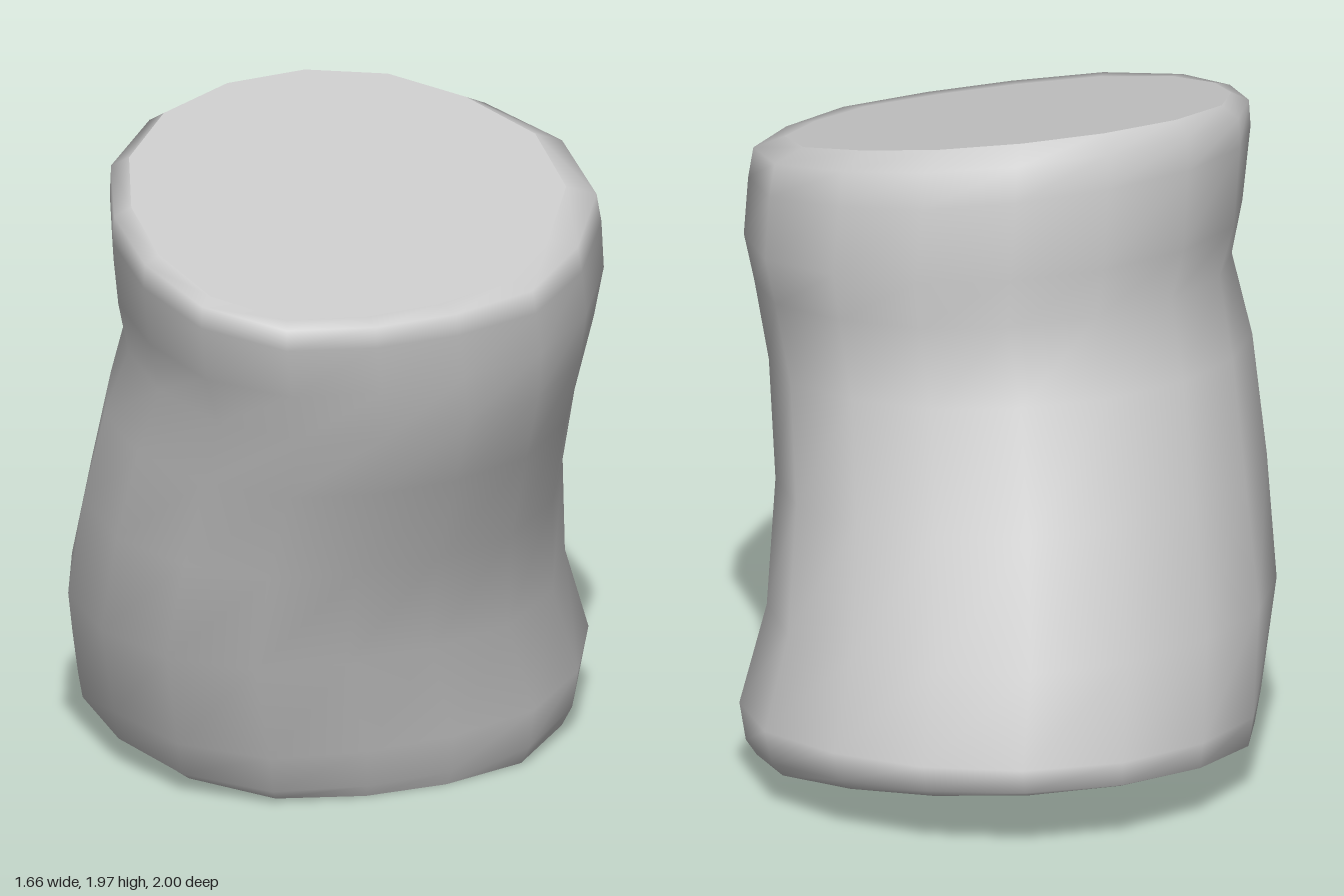
import * as THREE from 'three';

const SIDES = 16;
const STEP = (Math.PI * 2) / SIDES;

// Each ring: left [x, y], right [x, y], front [z, y], back [z, y],
// then the bulge of its four corners, from front (+x) round to back (+x)
const RINGS = [
  [[-0.80, 0.14], [0.58, 0.01], [0.465, 0.025], [-0.93, 0.135], [-0.09, -0.05, 0.02, 0.06]], // underside edge
  [[-0.83, 0.15], [0.605, 0.06], [0.495, 0.055], [-0.985, 0.175], [-0.09, -0.04, 0.02, 0.05]],
  [[-0.83, 0.22], [0.63, 0.18], [0.55, 0.18], [-0.995, 0.26], [-0.09, -0.04, 0.02, 0.05]],
  [[-0.78, 0.50], [0.595, 0.47], [0.67, 0.50], [-0.89, 0.52], [-0.09, 0, 0.02, 0.05]],
  [[-0.675, 0.85], [0.645, 0.80], [0.735, 0.82], [-0.74, 0.87], [-0.08, 0.03, 0.01, 0.04]],
  [[-0.57, 1.18], [0.735, 1.10], [0.82, 1.12], [-0.595, 1.20], [-0.07, 0.03, -0.01, 0.05]],
  [[-0.50, 1.42], [0.795, 1.33], [0.885, 1.32], [-0.555, 1.41], [-0.07, -0.02, 0, 0.07]], // groove
  [[-0.54, 1.57], [0.815, 1.47], [0.945, 1.48], [-0.595, 1.57], [-0.09, -0.05, -0.01, 0.08]],
  [[-0.53, 1.80], [0.82, 1.62], [1.00, 1.65], [-0.55, 1.77], [-0.10, -0.04, -0.02, 0.09]],
  [[-0.525, 1.89], [0.81, 1.69], [0.99, 1.715], [-0.53, 1.88], [-0.10, -0.04, -0.02, 0.09]], // rim
  [[-0.47, 1.93], [0.73, 1.715], [0.93, 1.72], [-0.45, 1.92], [-0.10, -0.04, -0.02, 0.09]], // top edge
];

// Tilted uneven oval ring, scaled so its flat sides reach the given extremes
function ringPoints([l, r, f, b, bulges]) {
  const cx = (l[0] + r[0]) / 2, cz = (f[0] + b[0]) / 2;
  const cy = (l[1] + r[1] + f[1] + b[1]) / 4;
  const points = [];
  for (let j = 0; j < SIDES; j++) {
    const t = (j + 0.5) * STEP;
    const bulge = bulges[Math.floor((4 * j) / SIDES)];
    const k = (1 + bulge * Math.sin(2 * t) ** 2) / Math.cos(STEP / 2) / 2;
    const c = Math.cos(t) * k, s = Math.sin(t) * k;
    points.push(new THREE.Vector3(
      cx + c * (r[0] - l[0]),
      cy + c * (r[1] - l[1]) + s * (f[1] - b[1]),
      cz + s * (f[0] - b[0])));
  }
  return points;
}

function geometryFrom(points, index) {
  const geometry = new THREE.BufferGeometry().setFromPoints(points);
  geometry.setIndex(index);
  geometry.computeVertexNormals();
  return geometry;
}

// Smooth wall through all the rings
function wallGeometry(rings) {
  const index = [];
  for (let i = 0; i < rings.length - 1; i++) {
    for (let j = 0; j < SIDES; j++) {
      const n = (j + 1) % SIDES;
      const a = i * SIDES + j, b = i * SIDES + n;
      index.push(a, a + SIDES, b, b, a + SIDES, b + SIDES);
    }
  }
  return geometryFrom(rings.flat(), index);
}

// Flat disc closing one ring
function capGeometry(ring, up) {
  const centre = new THREE.Vector3();
  ring.forEach((p) => centre.addScaledVector(p, 1 / SIDES));
  const index = [];
  for (let j = 0; j < SIDES; j++) {
    const n = (j + 1) % SIDES;
    index.push(SIDES, up ? n : j, up ? j : n);
  }
  return geometryFrom([...ring, centre], index);
}

export function createModel() {
  const group = new THREE.Group();
  group.name = 'leaningStump';
  const material = new THREE.MeshStandardMaterial({ color: 0xcccccc });
  const rings = RINGS.map(ringPoints);
  const add = (name, geometry) => {
    const mesh = new THREE.Mesh(geometry, material);
    mesh.name = name;
    group.add(mesh);
  };
  add('stumpWall', wallGeometry(rings));
  add('topFace', capGeometry(rings[rings.length - 1], true));
  add('underside', capGeometry(rings[0], false));
  return group;
}
